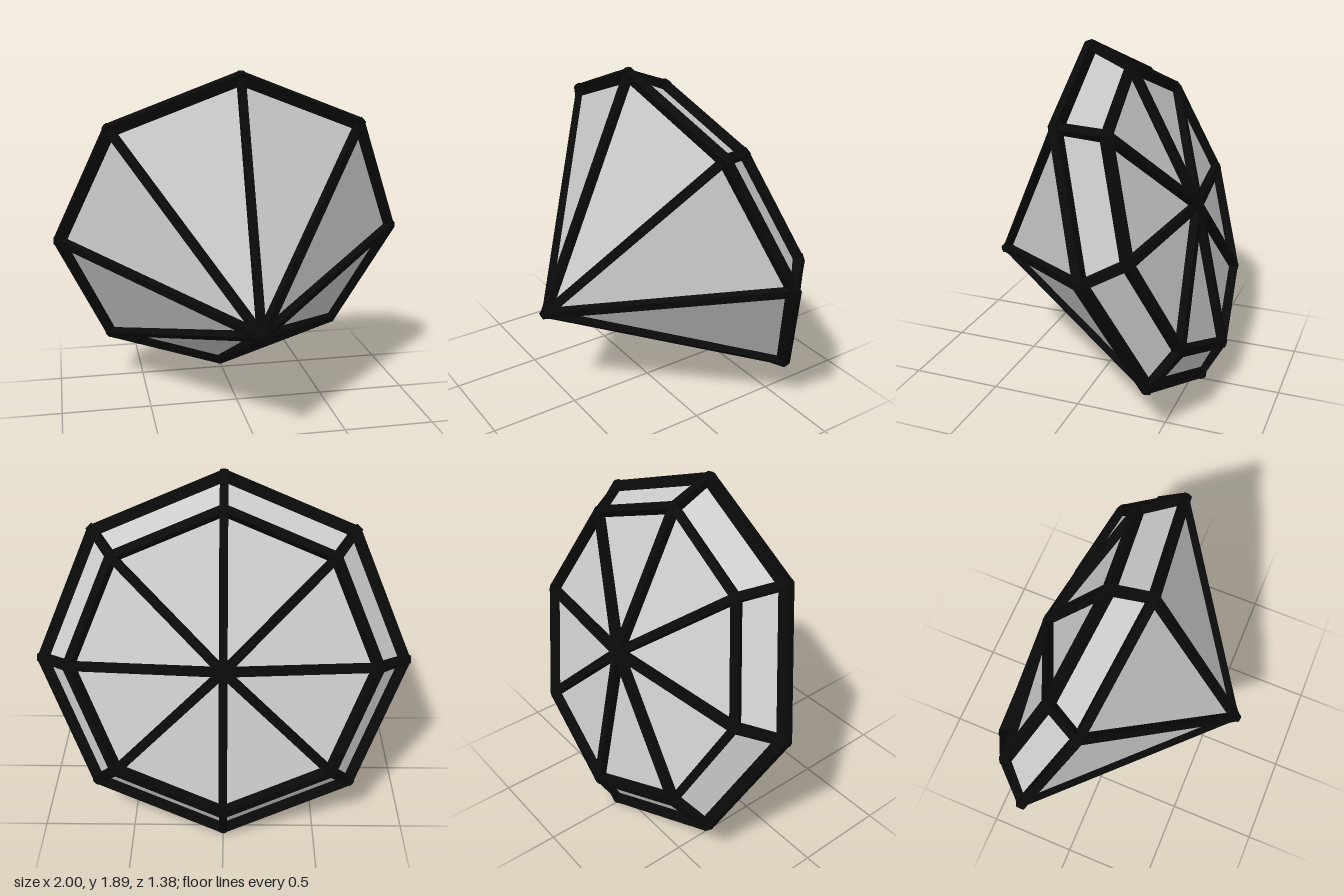
import * as THREE from 'three';
import { ConvexGeometry } from 'three/addons/geometries/ConvexGeometry.js';

const SIDES = 8, HALF_WIDTH = 0.022, OUT = 0.045, IN = 0.03;

// Gem profile: [radius, height along the axis], with the outward direction of each ring in that plane
const PROFILE = [
  { r: 0, y: -0.91, n: [0, -1] },         // pointed tip
  { r: 0.955, y: 0, n: [1, 0] },          // girdle
  { r: 0.795, y: 0.165, n: [0.5, 0.87] }, // crown rim
  { r: 0, y: 0.275, n: [0, 1] },          // crown centre
];

// Corner position and outward normal for ring k, side i
function corner(k, i) {
  const { r, y, n } = PROFILE[k];
  const a = (i / SIDES) * Math.PI * 2;
  const at = (rad, h) => new THREE.Vector3(rad * Math.sin(a), h, rad * Math.cos(a));
  return { pos: at(r, y), normal: at(n[0], n[1]) };
}

// Flat bar standing on the edge between two corners
function barGeometry(a, b) {
  const side = b.pos.clone().sub(a.pos)
    .cross(a.normal.clone().add(b.normal)).setLength(HALF_WIDTH);
  const points = [];
  for (const c of [a, b])
    for (const h of [-IN, OUT])
      for (const s of [-1, 1])
        points.push(c.pos.clone().addScaledVector(c.normal, h).addScaledVector(side, s));
  return new ConvexGeometry(points);
}

export function createModel() {
  const model = new THREE.Group();
  model.name = 'framedGem';
  const stone = new THREE.MeshStandardMaterial({ color: 0xcccccc, flatShading: true });
  const black = new THREE.MeshStandardMaterial({ color: 0x0a0a0a, flatShading: true });

  const gem = new THREE.Group();
  gem.name = 'gem';
  gem.position.set(0, 0.94, -0.22);
  gem.rotation.x = THREE.MathUtils.degToRad(-70);
  model.add(gem);

  const add = (geometry, material, name) => {
    const mesh = new THREE.Mesh(geometry, material);
    mesh.name = name;
    gem.add(mesh);
    return mesh;
  };

  // Faceted stone
  const outline = PROFILE.map(p => new THREE.Vector2(p.r, p.y));
  add(new THREE.LatheGeometry(outline, SIDES), stone, 'stone');

  // Rounded joint where bars meet
  const joint = (c) => {
    const mesh = add(new THREE.CylinderGeometry(HALF_WIDTH, HALF_WIDTH, IN + OUT, 8), black, 'frameJoint');
    mesh.position.copy(c.pos).addScaledVector(c.normal, (OUT - IN) / 2);
    mesh.quaternion.setFromUnitVectors(new THREE.Vector3(0, 1, 0), c.normal.clone().normalize());
  };
  joint(corner(0, 0));
  joint(corner(3, 0));

  // Frame bars along every edge
  for (let i = 0; i < SIDES; i++) {
    const [tip, girdle, rim, centre] = [0, 1, 2, 3].map(k => corner(k, i));
    add(barGeometry(tip, girdle), black, 'pavilionBar');
    add(barGeometry(girdle, rim), black, 'crownBar');
    add(barGeometry(rim, centre), black, 'tableBar');
    add(barGeometry(girdle, corner(1, i + 1)), black, 'girdleBar');
    add(barGeometry(rim, corner(2, i + 1)), black, 'rimBar');
    joint(girdle);
    joint(rim);
  }
  return model;
}
